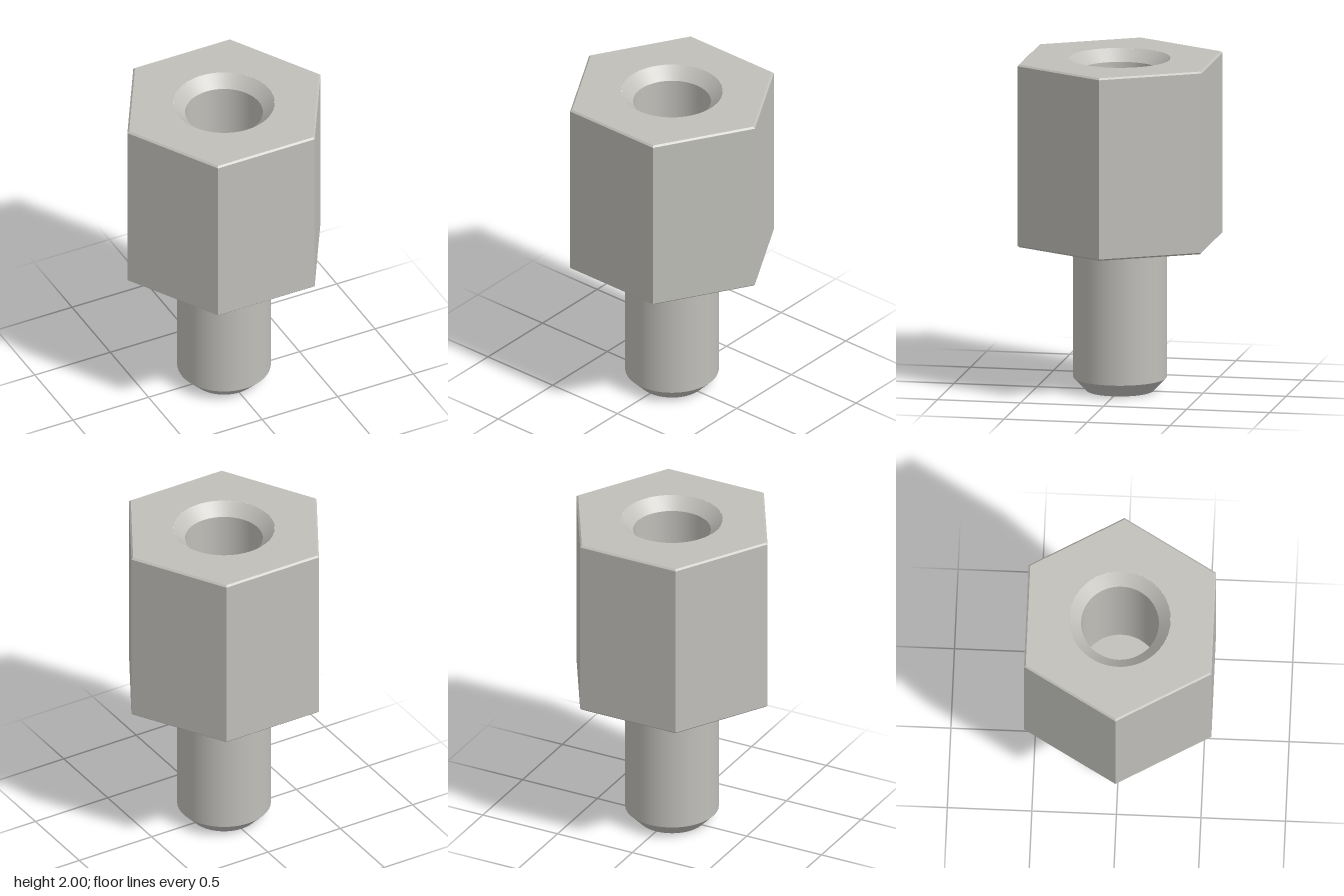
import * as THREE from 'three';

const HEX = 0.64, HEX_IN = 0.628;   // hexagon corner radius, and inside the edge break
const BASE = 0.9, TOP = 2, BREAK = 0.01;
const STUD = 0.277, TIP = 0.2;
const HOLE = 0.23, SINK = 0.3, FLOOR = 1.1;

export function createModel() {
  const model = new THREE.Group();
  const metal = new THREE.MeshStandardMaterial({ color: 0xc0bfba });
  metal.name = 'light grey metal';

  function add(name, geometry, parent = model) {
    const mesh = new THREE.Mesh(geometry, metal);
    mesh.name = name;
    parent.add(mesh);
    return mesh;
  }

  // One conical or straight band; upward bands face out, downward bands face in
  const band = (r0, y0, r1, y1) =>
    new THREE.LatheGeometry([new THREE.Vector2(r0, y0), new THREE.Vector2(r1, y1)], 64);

  // Flat face with a round opening, facing up or down at height y
  function hexFace(radius, opening, y, up) {
    const corners = Array.from({ length: 6 }, (_, i) => new THREE.Vector2(
      radius * Math.cos(i * Math.PI / 3), radius * Math.sin(i * Math.PI / 3)));
    const shape = new THREE.Shape(corners);
    shape.holes.push(new THREE.Path().absarc(0, 0, opening, 0, Math.PI * 2, true));
    return new THREE.ShapeGeometry(shape, 64)
      .rotateX(up ? -Math.PI / 2 : Math.PI / 2).translate(0, y, 0);
  }

  function disc(radius, y, up) {
    return new THREE.CircleGeometry(radius, 64)
      .rotateX(up ? -Math.PI / 2 : Math.PI / 2).translate(0, y, 0);
  }

  // Hexagonal body with broken edges, corners on the x axis
  const body = new THREE.Group();
  body.name = 'hexBody';
  model.add(body);
  const profile = [[HEX_IN, BASE], [HEX, BASE + BREAK], [HEX, TOP - BREAK], [HEX_IN, TOP]]
    .map(([r, y]) => new THREE.Vector2(r, y));
  const sides = new THREE.LatheGeometry(profile, 6, Math.PI / 6).toNonIndexed();
  sides.computeVertexNormals();
  add('hexSides', sides, body);
  add('topFace', hexFace(HEX_IN, SINK, TOP, true), body);
  add('bottomFace', hexFace(HEX_IN, STUD, BASE, false), body);

  // Countersunk blind hole
  const hole = new THREE.Group();
  hole.name = 'blindHole';
  model.add(hole);
  add('countersink', band(SINK, TOP, HOLE, TOP - 0.07), hole);
  add('holeWall', band(HOLE, TOP - 0.07, HOLE, FLOOR), hole);
  add('holeFloor', disc(HOLE, FLOOR, true), hole);

  // Stud with chamfered tip
  const stud = new THREE.Group();
  stud.name = 'stud';
  model.add(stud);
  add('studShaft', band(STUD, 0.08, STUD, BASE), stud);
  add('studChamfer', band(TIP, 0, STUD, 0.08), stud);
  add('studEnd', disc(TIP, 0, false), stud);

  return model;
}
